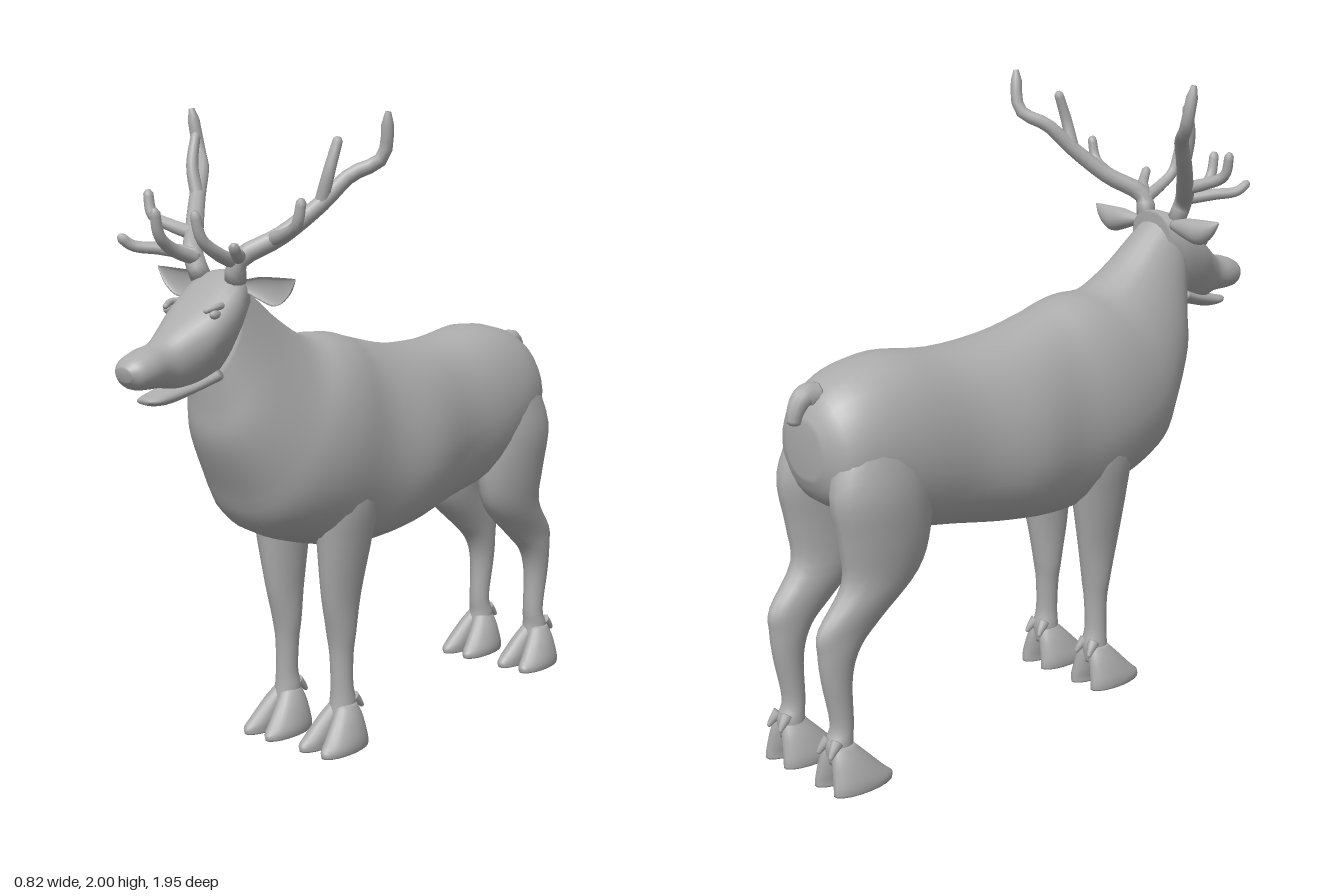
import * as THREE from 'three';

const coat = new THREE.MeshStandardMaterial({ color: 0xacacac });
coat.name = 'grey coat';

// Smoothly resample a list of cross-section rows
function refine(rows, steps) {
  const out = [];
  const n = rows.length;
  for (let i = 0; i < n - 1; i++) {
    const p = [rows[Math.max(i - 1, 0)], rows[i], rows[i + 1], rows[Math.min(i + 2, n - 1)]];
    for (let k = 0; k < steps; k++) {
      const t = k / steps;
      out.push(p[1].map((b, j) => {
        const a = p[0][j], c = p[2][j], d = p[3][j];
        return b + 0.5 * t * (c - a + t * (2 * a - 5 * b + 4 * c - d + t * (3 * (b - c) + d - a)));
      }));
    }
  }
  out.push(rows[n - 1]);
  return out;
}

// Skin closed rings with capped ends; faces are always turned outward
function loft(name, rings) {
  const m = rings[0].length, n = rings.length;
  const pts = rings.flat();
  const idx = [];
  for (let i = 0; i < n - 1; i++) {
    for (let j = 0; j < m; j++) {
      const a = i * m + j, b = i * m + (j + 1) % m;
      idx.push(a, b, a + m, b, b + m, a + m);
    }
  }
  for (const [r, flip] of [[0, false], [n - 1, true]]) {
    const c = new THREE.Vector3();
    rings[r].forEach((p) => c.addScaledVector(p, 1 / m));
    pts.push(c);
    for (let j = 0; j < m; j++) {
      const a = r * m + j, b = r * m + (j + 1) % m;
      idx.push(pts.length - 1, flip ? a : b, flip ? b : a);
    }
  }
  let volume = 0;
  const cross = new THREE.Vector3();
  for (let i = 0; i < idx.length; i += 3) {
    volume += cross.crossVectors(pts[idx[i]], pts[idx[i + 1]]).dot(pts[idx[i + 2]]);
  }
  if (volume < 0) idx.reverse();
  const g = new THREE.BufferGeometry().setFromPoints(pts);
  g.setIndex(idx);
  g.computeVertexNormals();
  const mesh = new THREE.Mesh(g, coat);
  mesh.name = name;
  return mesh;
}

const angles = (m) => Array.from({ length: m }, (_, j) => (j / m) * Math.PI * 2);

// Trunk-like part: rows of topY, topZ, bottomY, bottomZ, half width, upward bias
function trunk(name, rows, steps = 4) {
  return loft(name, refine(rows, steps).map(([ty, tz, by, bz, w, bias]) => angles(28).map((t) => {
    const c = Math.cos(t), s = Math.sin(t), k = (1 + c) / 2;
    const x = w * Math.sign(s) * Math.abs(s) ** 0.85 * (1 + bias * c);
    return new THREE.Vector3(x, by + (ty - by) * k, bz + (tz - bz) * k);
  })));
}

// Upright part: rows of y, centre z, half depth, centre x, half width
function column(name, rows, side, steps = 4) {
  return loft(name, refine(rows, steps).map(([y, z, rz, x, rx]) => angles(18).map((t) =>
    new THREE.Vector3(side * (x + rx * Math.cos(t)), y, z + rz * Math.sin(t)))));
}

// Tapered round branch through points, with a rounded tip
function branch(name, points, r0, r1, side) {
  const curve = new THREE.CatmullRomCurve3(points.map(([x, y, z]) => new THREE.Vector3(side * x, y, z)));
  const n = 20, frames = curve.computeFrenetFrames(n, false);
  const rings = [];
  for (let i = 0; i <= n; i++) {
    const r = (r0 + (r1 - r0) * i / n) * (i === n ? 0.5 : 1);
    const c = curve.getPointAt(i / n);
    rings.push(angles(10).map((t) => c.clone()
      .addScaledVector(frames.normals[i], r * Math.cos(t))
      .addScaledVector(frames.binormals[i], r * Math.sin(t))));
  }
  return loft(name, rings);
}

const BODY = [
  [1.53, 0.56, 1.24, 0.655, 0.10, 0], [1.47, 0.48, 1.14, 0.645, 0.125, -0.1],
  [1.385, 0.37, 1.03, 0.63, 0.16, -0.15], [1.325, 0.26, 0.88, 0.555, 0.2, -0.15],
  [1.32, 0.16, 0.755, 0.48, 0.23, -0.1], [1.31, 0.09, 0.68, 0.32, 0.24, -0.1],
  [1.285, 0, 0.62, 0.06, 0.23, -0.1], [1.245, -0.18, 0.64, -0.17, 0.248, -0.1],
  [1.235, -0.4, 0.68, -0.4, 0.215, -0.05], [1.26, -0.62, 0.72, -0.6, 0.215, -0.05],
  [1.235, -0.77, 0.79, -0.75, 0.2, -0.05], [1.18, -0.87, 0.85, -0.86, 0.16, -0.1],
  [1.10, -0.915, 0.93, -0.905, 0.08, 0],
];
const HEAD = [
  [1.545, 0.53, 1.30, 0.56, 0.08, 0.2], [1.54, 0.595, 1.24, 0.64, 0.11, 0.3],
  [1.47, 0.69, 1.215, 0.715, 0.108, 0.35], [1.41, 0.775, 1.215, 0.785, 0.082, 0.2],
  [1.365, 0.84, 1.232, 0.835, 0.064, 0.05], [1.35, 0.90, 1.235, 0.895, 0.066, 0],
  [1.33, 0.95, 1.24, 0.94, 0.057, 0], [1.305, 0.976, 1.265, 0.966, 0.03, 0],
];
const JAW = [
  [1.28, 0.66, 1.225, 0.64, 0.075, 0], [1.25, 0.74, 1.203, 0.73, 0.062, 0],
  [1.23, 0.82, 1.184, 0.81, 0.047, 0], [1.216, 0.87, 1.184, 0.87, 0.042, 0],
  [1.208, 0.902, 1.193, 0.9, 0.022, 0],
];
const FRONT_LEG = [
  [1.02, 0.16, 0.12, 0.13, 0.085], [0.82, 0.17, 0.125, 0.135, 0.085], [0.68, 0.175, 0.108, 0.13, 0.071],
  [0.5, 0.18, 0.078, 0.12, 0.052], [0.37, 0.176, 0.05, 0.116, 0.046], [0.3, 0.175, 0.04, 0.116, 0.038],
  [0.2, 0.175, 0.037, 0.118, 0.036], [0.14, 0.17, 0.045, 0.118, 0.042], [0.08, 0.18, 0.045, 0.12, 0.042],
];
const HIND_LEG = [
  [1.06, -0.72, 0.13, 0.11, 0.08], [0.9, -0.735, 0.172, 0.128, 0.095], [0.75, -0.722, 0.162, 0.13, 0.085],
  [0.62, -0.74, 0.135, 0.125, 0.07], [0.5, -0.852, 0.112, 0.12, 0.05], [0.43, -0.893, 0.073, 0.12, 0.045],
  [0.34, -0.905, 0.05, 0.12, 0.04], [0.2, -0.892, 0.036, 0.12, 0.036], [0.14, -0.905, 0.044, 0.12, 0.042],
  [0.08, -0.895, 0.045, 0.12, 0.042],
];
const ANTLER = {
  antlerBeam: [[0.07, 1.52, 0.59], [0.09, 1.58, 0.6], [0.175, 1.65, 0.51], [0.25, 1.74, 0.42],
    [0.3, 1.82, 0.35], [0.37, 1.87, 0.29], [0.395, 2, 0.295]],
  browTine: [[0.08, 1.575, 0.6], [0.09, 1.605, 0.68], [0.085, 1.65, 0.74], [0.08, 1.73, 0.763]],
  forwardTine: [[0.09, 1.59, 0.6], [0.16, 1.605, 0.67], [0.21, 1.615, 0.73], [0.23, 1.645, 0.765]],
  middleTine: [[0.16, 1.64, 0.53], [0.23, 1.66, 0.55], [0.29, 1.69, 0.57], [0.31, 1.765, 0.57]],
  upperTine: [[0.25, 1.74, 0.42], [0.275, 1.83, 0.415], [0.287, 1.93, 0.385]],
};
// Rows of x, y, half height, depth
const EAR = [[0.08, 1.505, 0.016, 0.02], [0.14, 1.5, 0.034, 0.034], [0.2, 1.495, 0.042, 0.034],
  [0.25, 1.512, 0.026, 0.02], [0.278, 1.535, 0.003, 0.003]];

// Cloven hoof with two toes and two dewclaws
function hoof(x, z, side) {
  const g = new THREE.Group();
  g.name = 'hoof';
  for (const d of [-1, 1]) {
    g.add(column('toe', [
      [0.14, z - 0.005, 0.035, x + d * 0.015, 0.026], [0.1, z + 0.008, 0.06, x + d * 0.028, 0.036],
      [0.05, z + 0.028, 0.087, x + d * 0.04, 0.043], [0.02, z + 0.042, 0.105, x + d * 0.046, 0.043],
      [0, z + 0.042, 0.105, x + d * 0.046, 0.041],
    ], side, 3));
    g.add(branch('dewclaw', [[x + d * 0.02, 0.155, z - 0.03], [x + d * 0.026, 0.135, z - 0.05],
      [x + d * 0.03, 0.115, z - 0.065]], 0.02, 0.006, side));
  }
  return g;
}

export function createModel() {
  const model = new THREE.Group();
  model.name = 'deer';
  model.add(trunk('body', BODY), trunk('head', HEAD), trunk('lowerJaw', JAW));

  // Short hanging tail
  model.add(branch('tail', [[0, 1.17, -0.86], [0, 1.175, -0.9], [0, 1.14, -0.93], [0, 1.095, -0.942]], 0.04, 0.02, 1));

  for (const side of [1, -1]) {
    model.add(column('frontLeg', FRONT_LEG, side), column('hindLeg', HIND_LEG, side));
    model.add(hoof(0.12, 0.175, side), hoof(0.125, -0.9, side));

    // Antler
    const antler = new THREE.Group();
    antler.name = 'antler';
    for (const [name, path] of Object.entries(ANTLER)) {
      const beam = name === 'antlerBeam';
      antler.add(branch(name, path, beam ? 0.032 : 0.022, beam ? 0.018 : 0.015, side));
    }
    model.add(antler);

    // Cupped ear, hollow toward the front
    model.add(loft('ear', refine(EAR, 4).map(([x, y, h, d]) => angles(16).map((t) => {
      const s = Math.sin(t);
      return new THREE.Vector3(side * x, y + h * Math.cos(t), 0.565 + d * s * (s > 0 ? -0.4 : 1));
    }))));

    // Eye and brow
    const eye = new THREE.Mesh(new THREE.SphereGeometry(0.018, 14, 10), coat);
    eye.name = 'eye';
    eye.position.set(side * 0.094, 1.435, 0.7);
    eye.scale.set(0.7, 0.8, 1.1);
    model.add(eye);
    model.add(branch('brow', [[0.085, 1.455, 0.66], [0.094, 1.456, 0.69], [0.08, 1.445, 0.73]], 0.012, 0.008, side));
  }
  return model;
}
